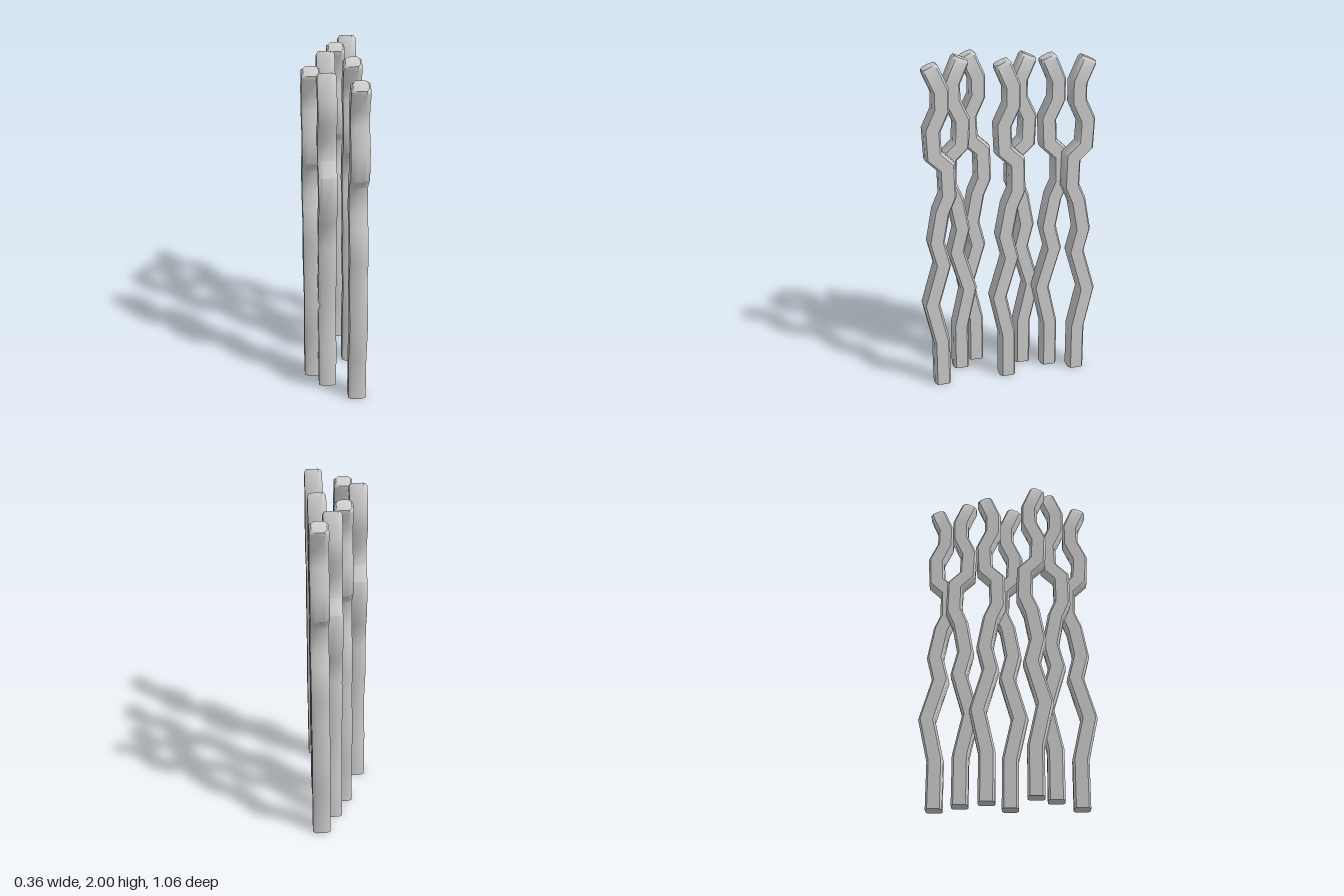
import * as THREE from 'three';
import { toCreasedNormals } from 'three/addons/utils/BufferGeometryUtils.js';

// One quarter of the strand's eight-sided section (x, z), and of its smaller bevelled tip
const octagon = (a, b, c, d) => [[a, b], [c, d], [-c, d], [-a, b], [-a, -b], [-c, -d], [c, -d], [a, -b]];
const BODY = octagon(0.0525, 0.036, 0.03, 0.049);
const TIP = octagon(0.042, 0.02, 0.027, 0.042);

// Centre line of a strand: height, sideways drift
const PATH = [
  [0, 0], [0.29, 0], [0.545, 0.056], [0.8, -0.018], [0.945, 0.018], [1.13, -0.016],
  [1.225, -0.057], [1.4, -0.053], [1.47, 0.021], [1.62, 0.028], [1.735, -0.026],
  [1.845, -0.026], [1.98, 0.033],
];

// Sweeps the section along the centre line with mitred bends
function strandGeometry(sign) {
  const pts = PATH.map(([y, z]) => new THREE.Vector2(z * sign, y));
  const last = pts.length - 1;
  const dir = (i) => pts[i + 1].clone().sub(pts[i]).normalize();
  const rings = [];
  const addRing = (p, t, scale, section) => rings.push(
    section.map(([x, s]) => [x, p.y - t.x * s * scale, p.x + t.y * s * scale]));

  pts.forEach((p, i) => {
    const before = dir(Math.max(i - 1, 0));
    const after = dir(Math.min(i, last - 1));
    const t = before.clone().add(after).normalize();
    if (i === last) {
      // bevelled top end
      addRing(p.clone().addScaledVector(t, -0.017), t, 1, BODY);
      addRing(p, t, 1, TIP);
    } else {
      addRing(p, t, 1 / t.dot(before), BODY);
    }
  });

  const n = BODY.length;
  const positions = rings.flat(2);
  const index = [];
  for (let r = 0; r < rings.length - 1; r++) {
    for (let k = 0; k < n; k++) {
      const a = r * n + k, b = r * n + (k + 1) % n;
      index.push(a, a + n, b, b, a + n, b + n);
    }
  }
  // end caps
  const top = (rings.length - 1) * n;
  for (let k = 1; k < n - 1; k++) {
    index.push(0, k, k + 1);
    index.push(top, top + k + 1, top + k);
  }
  const geometry = new THREE.BufferGeometry();
  geometry.setAttribute('position', new THREE.Float32BufferAttribute(positions, 3));
  geometry.setIndex(index);
  return toCreasedNormals(geometry.toNonIndexed(), 0.85);
}

export function createModel() {
  const group = new THREE.Group();
  group.name = 'wavyStrands';
  const material = new THREE.MeshStandardMaterial({ color: 0xcccccc });
  const shapes = { 1: strandGeometry(1), [-1]: strandGeometry(-1) };

  // x, z, and which way the waves lean
  const strands = [
    [0.115, 0.422, 1], [-0.05, 0.271, -1], [-0.13, 0.158, 1], [0.115, 0.012, 1],
    [-0.025, -0.12, -1], [0.045, -0.274, 1], [0.127, -0.427, -1],
  ];
  strands.forEach(([x, z, sign], i) => {
    const strand = new THREE.Mesh(shapes[sign], material);
    strand.name = `strand${i + 1}`;
    strand.position.set(x, 0, z);
    group.add(strand);
  });
  return group;
}
